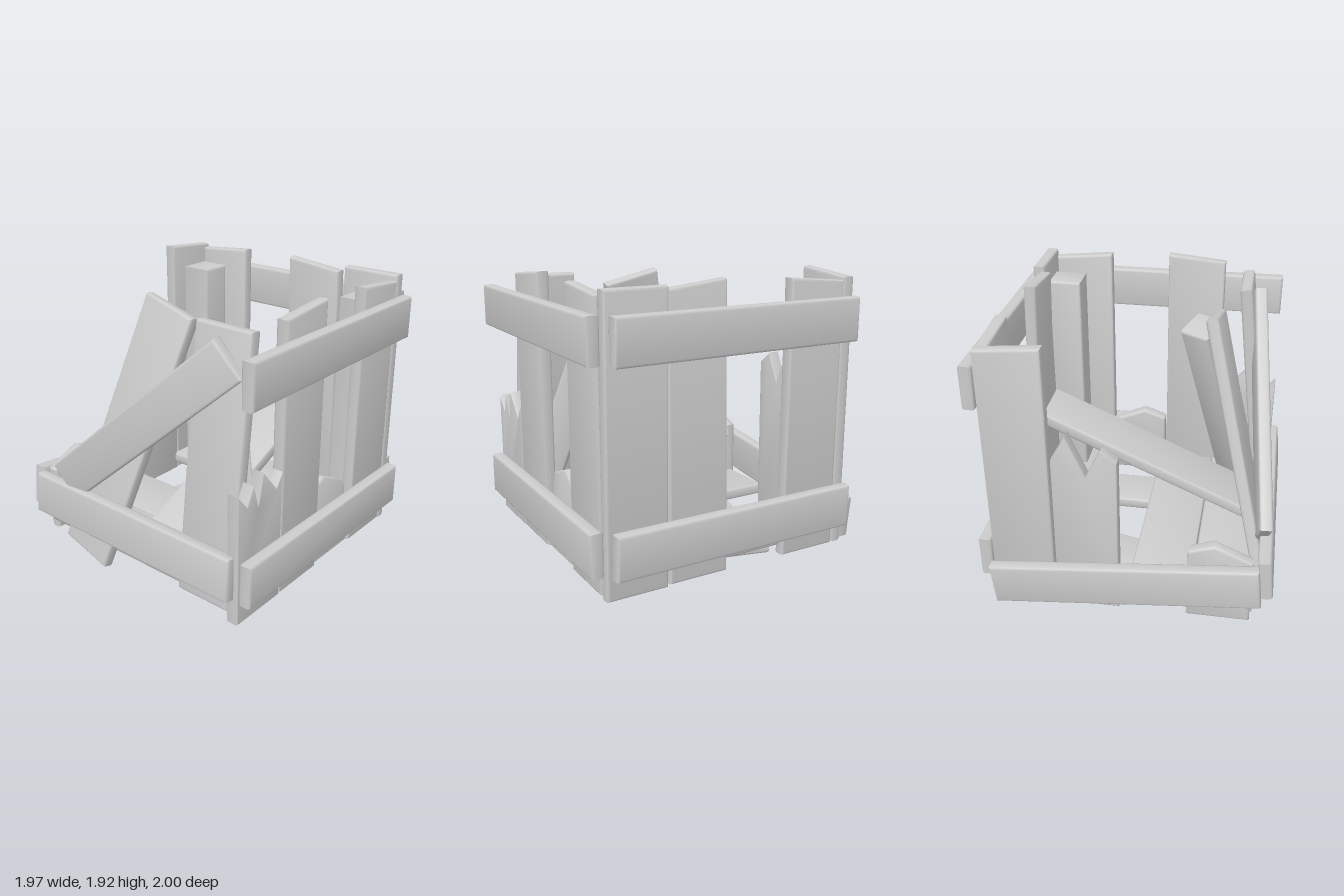
import * as THREE from 'three';
import { toCreasedNormals } from 'three/addons/utils/BufferGeometryUtils.js';

const V = (a) => new THREE.Vector3(...a);
const X = [1, 0, 0], Z = [0, 0, 1];
const FLAT = [[0, 0], [1, 0]];

export function createModel() {
  const group = new THREE.Group();
  const material = new THREE.MeshStandardMaterial({ color: 0xcccccc });

  // Bevelled board running between two points; end = [fraction of width, height offset] along the far end
  function board(name, from, to, widthDir, width, thick, end = FLAT, bevel = 0.018) {
    const a = V(from), along = V(to).sub(a), length = along.length();
    along.normalize();
    const across = V(widthDir);
    across.addScaledVector(along, -across.dot(along)).normalize();
    const shape = new THREE.Shape();
    shape.moveTo(-width / 2, 0);
    shape.lineTo(width / 2, 0);
    for (const [u, d] of [...end].reverse()) shape.lineTo((u - 0.5) * width, length + d);
    shape.closePath();
    const geo = new THREE.ExtrudeGeometry(shape, {
      depth: thick - 2 * bevel, bevelEnabled: true, bevelThickness: bevel,
      bevelSize: bevel, bevelOffset: -bevel, bevelSegments: 2,
    });
    geo.translate(0, 0, bevel - thick / 2);
    const mesh = new THREE.Mesh(toCreasedNormals(geo, 0.8), material);
    const basis = new THREE.Matrix4().makeBasis(across, along, across.clone().cross(along));
    mesh.quaternion.setFromRotationMatrix(basis);
    mesh.position.copy(a);
    mesh.name = name;
    group.add(mesh);
  }

  // Horizontal rails on the front and right, at two heights
  for (const y of [0.355, 1.635]) {
    board('frontRail', [-0.9, y, 0.95], [0.86, y, 0.95], [0, 1, 0], 0.29, 0.09);
    board('rightRail', [0.935, y, -0.885], [0.935, y, 0.875], [0, 1, 0], 0.29, 0.09);
  }
  // Loose lower rails and the fallen upper left rail
  board('backRail', [-0.9, 0.4, -0.955], [0.87, 0.215, -0.955], [0, 1, 0], 0.29, 0.09);
  board('leftRail', [-0.93, 0.39, -0.885], [-0.93, 0.39, 0.875], [0.1, 1, 0], 0.29, 0.09);
  board('fallenRail', [-0.9, 0.55, -0.61], [-0.735, 1.7, 0.7], [0.1, -0.75, 0.66], 0.29, 0.09);

  // Front wall planks, some snapped
  const W = 0.42, T = 0.085;
  board('frontPlankSnapped', [-0.695, 0.06, 0.865], [-0.695, 0.95, 0.865], X, 0.43, T,
    [[0, 0], [0.2, -0.1], [0.33, 0.02], [0.45, -0.13], [0.55, 0.07], [0.87, -0.09], [1, 0]], 0.01);
  board('frontPlank', [-0.265, 0.06, 0.865], [-0.265, 1.9, 0.865], X, W, T, [[0, 0], [1, 0.04]]);
  board('frontStub', [0.16, 0.06, 0.85], [0.16, 0.585, 0.8], X, W, T, [[0, 0], [0.4, 0.065], [1, -0.055]]);
  board('frontPlank', [0.585, 0.06, 0.865], [0.585, 1.92, 0.865], X, W, T, [[0, 0], [1, -0.04]]);

  // Back wall planks
  board('backPlank', [0.665, 0.06, -0.87], [0.665, 1.94, -0.87], X, W, T, [[0, 0], [1, -0.04]]);
  board('backPlankSnapped', [0.235, 0.06, -0.865], [0.235, 1.2, -0.855], X, W, T,
    [[0, 0], [0.24, 0.08], [0.47, -0.12], [0.76, 0.16], [1, -0.02]], 0.01);
  board('backStub', [-0.635, 0.06, -0.865], [-0.635, 0.58, -0.86], X, W, T, [[0, -0.05], [0.6, 0.06], [1, 0]]);

  // Right wall planks
  board('rightPlank', [0.845, 0.05, 0.69], [0.845, 1.92, 0.69], Z, W, T);
  board('rightPlank', [0.845, 0.06, 0.255], [0.79, 1.935, 0.255], Z, W, T, [[0, 0], [1, -0.045]]);
  board('rightPlank', [0.845, 0.06, -0.61], [0.845, 1.88, -0.61], Z, W, T, [[0, 0], [1, 0.035]]);

  // Left wall planks, leaning inward
  board('leftPlank', [-0.85, 0.1, 0.61], [-0.65, 1.86, 0.61], Z, W, T);
  board('leftPlankLeaning', [-0.92, 0.075, -0.42], [-0.475, 1.83, 0.02], Z, W, T);

  // Floor planks with cross battens below, and one floor plank sprung loose
  for (const x of [-0.65, -0.225, 0.63])
    board('floorPlank', [x, 0.16, -0.88], [x, 0.16, 0.87], X, W, 0.085);
  board('floorBatten', [-0.77, 0.075, 0.425], [0.75, 0.075, 0.425], Z, 0.35, 0.085);
  board('floorBatten', [-0.74, 0.075, -0.58], [0.72, 0.075, -0.22], Z, 0.34, 0.085);
  board('loosePlank', [-0.84, 0.25, 0.175], [0.75, 0.96, 0.175], Z, 0.41, 0.09);

  // Square corner posts, one toppled
  board('cornerPost', [0.69, 0.2, -0.715], [0.69, 1.77, -0.715], X, 0.235, 0.235);
  board('cornerPost', [0.69, 0.2, 0.705], [0.69, 1.77, 0.705], X, 0.235, 0.235);
  board('fallenPost', [-0.66, 0.2, 0.72], [-0.37, 1.62, 0.3], [0.205, 0, 0.125], 0.235, 0.235);

  return group;
}
